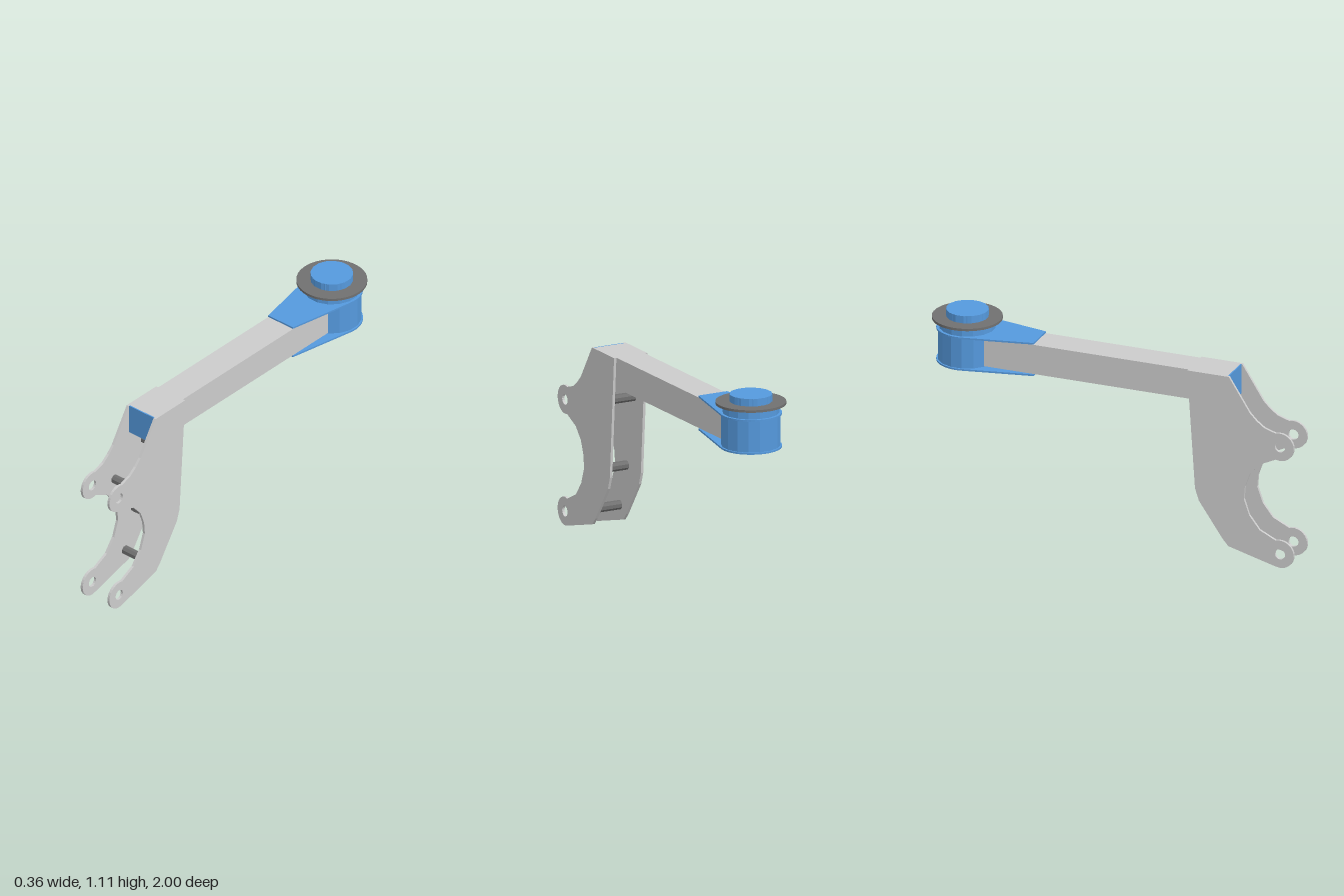
import * as THREE from 'three';

const mat = (color) => new THREE.MeshStandardMaterial({ color, flatShading: true });

export function createModel() {
  const group = new THREE.Group();
  const grey = mat(0xcccccc), dark = mat(0x707070), blue = mat(0x5599dd);
  const add = (name, geo, material, x = 0, y = 0, z = 0) => {
    const m = new THREE.Mesh(geo, material);
    m.name = name;
    m.position.set(x, y, z);
    group.add(m);
    return m;
  };

  // Regular polygon with a flat side facing each axis
  const ngon = (r, n) => Array.from({ length: n }, (_, i) => {
    const a = (i + 0.5) / n * Math.PI * 2;
    return new THREE.Vector2(Math.cos(a) * r, Math.sin(a) * r);
  });
  const extrudeUp = (shape, height) =>
    new THREE.ExtrudeGeometry(shape, { depth: height, bevelEnabled: false }).rotateX(-Math.PI / 2);

  // Side plates: bracket outline in (z, y) with two rounded lugs
  const lugs = [[0.925, 0.075], [0.925, 0.663]];
  const outline = new THREE.Shape();
  outline.moveTo(0.645, 1.005);
  [[0.417, 1.005], [0.46, 0.364], [0.481, 0.3], [0.61, 0.112], [0.642, 0.075], [0.898, 0.005]]
    .forEach(([z, y]) => outline.lineTo(z, y));
  outline.absarc(...lugs[0], 0.075, -Math.PI / 2, Math.PI * 0.6, false);
  [[0.813, 0.19], [0.757, 0.262], [0.727, 0.348], [0.733, 0.417], [0.76, 0.49], [0.813, 0.55]]
    .forEach(([z, y]) => outline.lineTo(z, y));
  outline.absarc(...lugs[1], 0.075, -Math.PI * 0.6, Math.PI * 0.6, false);
  [[0.84, 0.754], [0.797, 0.786], [0.76, 0.824]].forEach(([z, y]) => outline.lineTo(z, y));
  outline.closePath();
  for (const [z, y] of lugs) {
    outline.holes.push(new THREE.Path().absarc(z, y, 0.028, 0, Math.PI * 2, true));
  }
  const plate = new THREE.ExtrudeGeometry(outline, { depth: 0.014, bevelEnabled: false, curveSegments: 8 })
    .rotateY(-Math.PI / 2);
  add('leftSidePlate', plate, grey, 0.097);
  add('rightSidePlate', plate, grey, -0.083);

  // Cross rods between the plates
  const rod = new THREE.CylinderGeometry(0.024, 0.024, 0.168, 8).rotateX(0).rotateY(Math.PI / 8).rotateZ(Math.PI / 2);
  [[0.752, 0.53], [0.62, 0.757], [0.372, 0.605], [0.146, 0.675]]
    .forEach(([y, z], i) => add('crossRod' + (i + 1), rod, dark, 0, y, z));

  // Long arm and its front end cap
  add('arm', new THREE.BoxGeometry(0.166, 0.16, 1.335), grey, 0, 0.925, -0.0325);
  add('armEndCap', new THREE.BoxGeometry(0.166, 0.16, 0.007), blue, 0, 0.925, 0.6385);

  // Bearing head: stacked rings round an octagonal bore
  const headZ = -0.825;
  const ring = (name, r, n, y0, y1, material, hole = 0.107) => {
    const s = new THREE.Shape(ngon(r, n));
    s.holes.push(new THREE.Path(ngon(hole, 8).reverse()));
    add(name, extrudeUp(s, y1 - y0), material, 0, y0, headZ);
  };
  ring('bearingBarrel', 0.151, 16, 0.842, 1.006, blue);
  ring('bearingNeck', 0.145, 16, 1.015, 1.06, blue);
  ring('boreTube', 0.109, 16, 1.068, 1.112, blue);
  ring('flange', 0.18, 40, 1.06, 1.073, dark);
  ring('boreLiner', 0.1085, 8, 0.834, 1.111, blue, 0.1065);

  // Tapered gusset plates joining the arm to the head
  const gusset = new THREE.Shape();
  const tangent = -0.22;
  gusset.moveTo(-0.083, -0.395);
  gusset.lineTo(0.083, -0.395);
  gusset.absarc(0, 0, 0.158, tangent, Math.PI - tangent, false);
  gusset.closePath();
  gusset.holes.push(new THREE.Path(ngon(0.107, 8).reverse()));
  const gussetGeo = new THREE.ExtrudeGeometry(gusset, { depth: 0.009, bevelEnabled: false, curveSegments: 14 })
    .rotateX(-Math.PI / 2);
  add('upperGusset', gussetGeo, blue, 0, 1.006, headZ);
  add('lowerGusset', gussetGeo, blue, 0, 0.833, headZ);

  return group;
}
